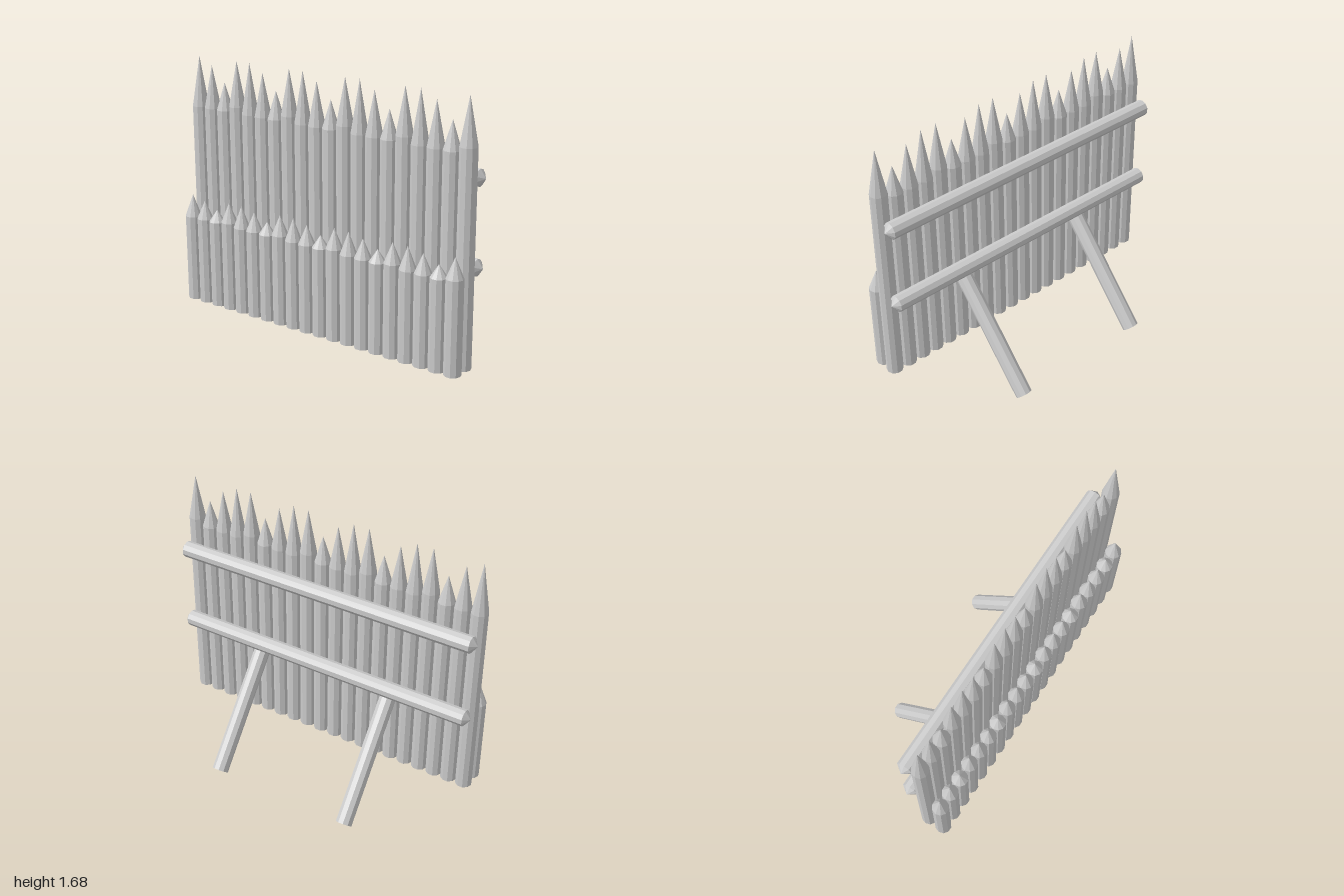
import * as THREE from 'three';

const RADIUS = 0.05;
const SIDES = 10;

// Faceted log along +y, turned from a profile of [radius, height] pairs
function logGeometry(profile) {
  const points = profile.map(([r, y]) => new THREE.Vector2(r, y));
  return new THREE.LatheGeometry(points, SIDES, Math.PI / 2, Math.PI * 2);
}

export function createModel() {
  const model = new THREE.Group();
  model.name = 'palisade';
  const wood = new THREE.MeshStandardMaterial({ color: 0xcccccc, flatShading: true });

  function add(parent, geometry, name, x, y, z) {
    const mesh = new THREE.Mesh(geometry, wood);
    mesh.name = name;
    mesh.position.set(x, y, z);
    parent.add(mesh);
    return mesh;
  }

  // Four repeating stakes: [shoulder height, tip height]
  const stakes = [[1.207, 1.512], [1.207, 1.465], [1.207, 1.372], [1.24, 1.512]]
    .map(([shoulder, tip]) =>
      logGeometry([[0, 0], [RADIUS, 0], [RADIUS, shoulder], [0, tip]]));

  // Tall back row and low front row
  for (const [name, z, scale] of [['tallStake', 0.231, 1], ['shortStake', 0.33, 0.443]]) {
    const row = new THREE.Group();
    row.name = name + 'Row';
    for (let i = 0; i < 20; i++) {
      add(row, stakes[i % 4], name, -0.95 + i * 0.1, 0.176, z).scale.y = scale;
    }
    model.add(row);
  }

  // Horizontal rails with blunt points at both ends
  const railGeometry = logGeometry([[0, -1], [RADIUS, -0.965], [RADIUS, 0.965], [0, 1]]);
  for (const [name, y] of [['lowerRail', 0.731], ['upperRail', 1.231]]) {
    add(model, railGeometry, name, 0, y, 0.132).rotation.z = Math.PI / 2;
  }

  // Slanted props from the ground up into the back row
  const up = new THREE.Vector3(0, 1, 0);
  for (const [name, x] of [['rightProp', -0.46], ['leftProp', 0.44]]) {
    const foot = new THREE.Vector3(x, 0.036, -0.334);
    const head = new THREE.Vector3(x + 0.015, 0.675, 0.2);
    const axis = head.clone().sub(foot);
    const length = axis.length();
    const prop = add(model, logGeometry([[0, 0], [RADIUS, 0], [RADIUS, length], [0, length]]),
      name, foot.x, foot.y, foot.z);
    prop.quaternion.setFromUnitVectors(up, axis.normalize());
  }

  return model;
}
